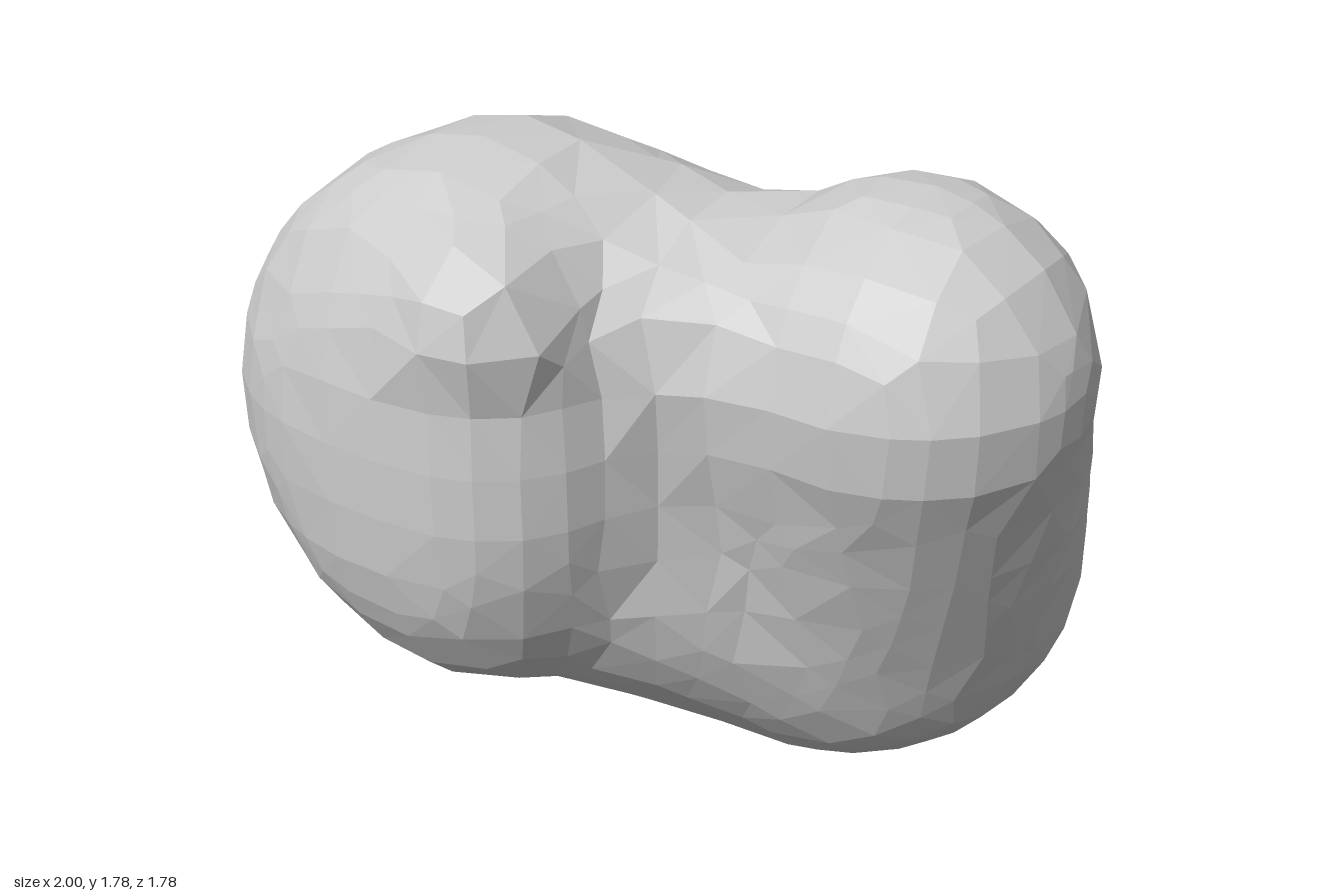
import * as THREE from 'three';

const V = (x, y, z) => new THREE.Vector3(x, y, z);

// Distance to a rounded bar whose radius runs from ra to rb
function bar(p, a, b, ra, rb) {
  const ab = b.clone().sub(a);
  const t = THREE.MathUtils.clamp(p.clone().sub(a).dot(ab) / ab.lengthSq(), 0, 1);
  return p.distanceTo(a.clone().addScaledVector(ab, t)) - (ra + (rb - ra) * t);
}

// Disc-like front lobe: round from the front, narrower towards +x
function frontLobe(p) {
  const dx = p.x + 0.31;
  const round = Math.hypot(dx / (dx > 0 ? 0.44 : 0.69), (p.y - 1.07) / 0.69);
  const depth = Math.abs(p.z - 0.43) / 0.46;
  return ((round ** 2.4 + depth ** 2.4) ** (1 / 2.4) - 1) * 0.53;
}

function blend(a, b, k) {
  const h = Math.max(k - Math.abs(a - b), 0) / k;
  return Math.min(a, b) - h * h * k / 4;
}

// Bars: start, end, start radius, end radius
const BARS = [
  [V(0.55, 1.25, 0), V(0.28, 0.58, -0.31), 0.45, 0.58],          // side lobe down to base lobe
  [V(-0.42, 0.88, 0.4), V(0.2, 0.52, -0.25), 0.45, 0.51],        // underside
  [V(-0.35, 1.1, 0.33), V(0.4, 0.9, -0.2), 0.42, 0.43],          // middle
  [V(-0.3, 1.36, 0.3), V(0.35, 1.2, 0.05), 0.4, 0.35],           // saddle on top
  [V(-0.45, 1.2, 0.45), V(-0.14, 1.44, 0.68), 0.42, 0.21],       // bump on the front lobe
];

const field = (p) => BARS.reduce((d, b) => blend(d, bar(p, ...b), 0.07), frontLobe(p));

// Coarse surface net: one vertex per crossed cell, one quad per crossed edge
function surfaceNet(f, origin, step, n) {
  const id = (c) => (c[0] * n + c[1]) * n + c[2];
  const at = (c) => V(...c).multiplyScalar(step).add(origin);
  const add = (c, axis, s = 1) => c.map((v, i) => (i === axis ? v + s : v));
  const lattice = [];
  for (let i = 0; i < n; i++)
    for (let j = 0; j < n; j++)
      for (let k = 0; k < n; k++) lattice.push([i, j, k]);
  const value = lattice.map((c) => f(at(c)));
  const inner = lattice.filter((c) => Math.max(...c) < n - 1);

  const points = [], vertexOf = new Map(), index = [];
  for (const c of inner) {
    const sum = V(0, 0, 0);
    let count = 0;
    for (let axis = 0; axis < 3; axis++) {
      const b = (axis + 1) % 3, g = (axis + 2) % 3;
      for (const start of [c, add(c, b), add(c, g), add(add(c, b), g)]) {
        const end = add(start, axis);
        const v0 = value[id(start)], v1 = value[id(end)];
        if ((v0 < 0) === (v1 < 0)) continue;
        sum.add(at(start).lerp(at(end), v0 / (v0 - v1)));
        count++;
      }
    }
    if (!count) continue;
    const v = sum.divideScalar(count);
    // Pull the averaged vertex back onto the surface
    for (let i = 0; i < 3; i++) {
      const h = 0.01, d = f(v);
      const [gx, gy, gz] = [V(h, 0, 0), V(0, h, 0), V(0, 0, h)].map((o) => f(o.add(v)) - d);
      v.addScaledVector(V(gx, gy, gz).normalize(), -d);
    }
    vertexOf.set(id(c), points.length);
    points.push(v);
  }
  for (const c of inner) {
    for (let axis = 0; axis < 3; axis++) {
      const inside = value[id(c)] < 0;
      if (inside === (value[id(add(c, axis))] < 0)) continue;
      const b = (axis + 1) % 3, g = (axis + 2) % 3;
      const quad = [c, add(c, b, -1), add(add(c, b, -1), g, -1), add(c, g, -1)].map((q) => vertexOf.get(id(q)));
      if (!inside) quad.reverse();
      const [q0, q1, q2, q3] = quad;
      // Split along the shorter diagonal
      if (points[q0].distanceTo(points[q2]) < points[q1].distanceTo(points[q3])) index.push(q0, q1, q2, q0, q2, q3);
      else index.push(q0, q1, q3, q1, q2, q3);
    }
  }
  const geometry = new THREE.BufferGeometry().setFromPoints(points);
  geometry.setIndex(index);
  geometry.computeVertexNormals();
  return geometry;
}

export function createModel() {
  const group = new THREE.Group();
  group.name = 'lobedBlob';
  const body = new THREE.Mesh(
    surfaceNet(field, V(-1.315, -0.326, -1.315), 0.153, 18),
    new THREE.MeshStandardMaterial({ color: 0xcccccc, flatShading: true }),
  );
  body.name = 'body';
  group.add(body);
  return group;
}
